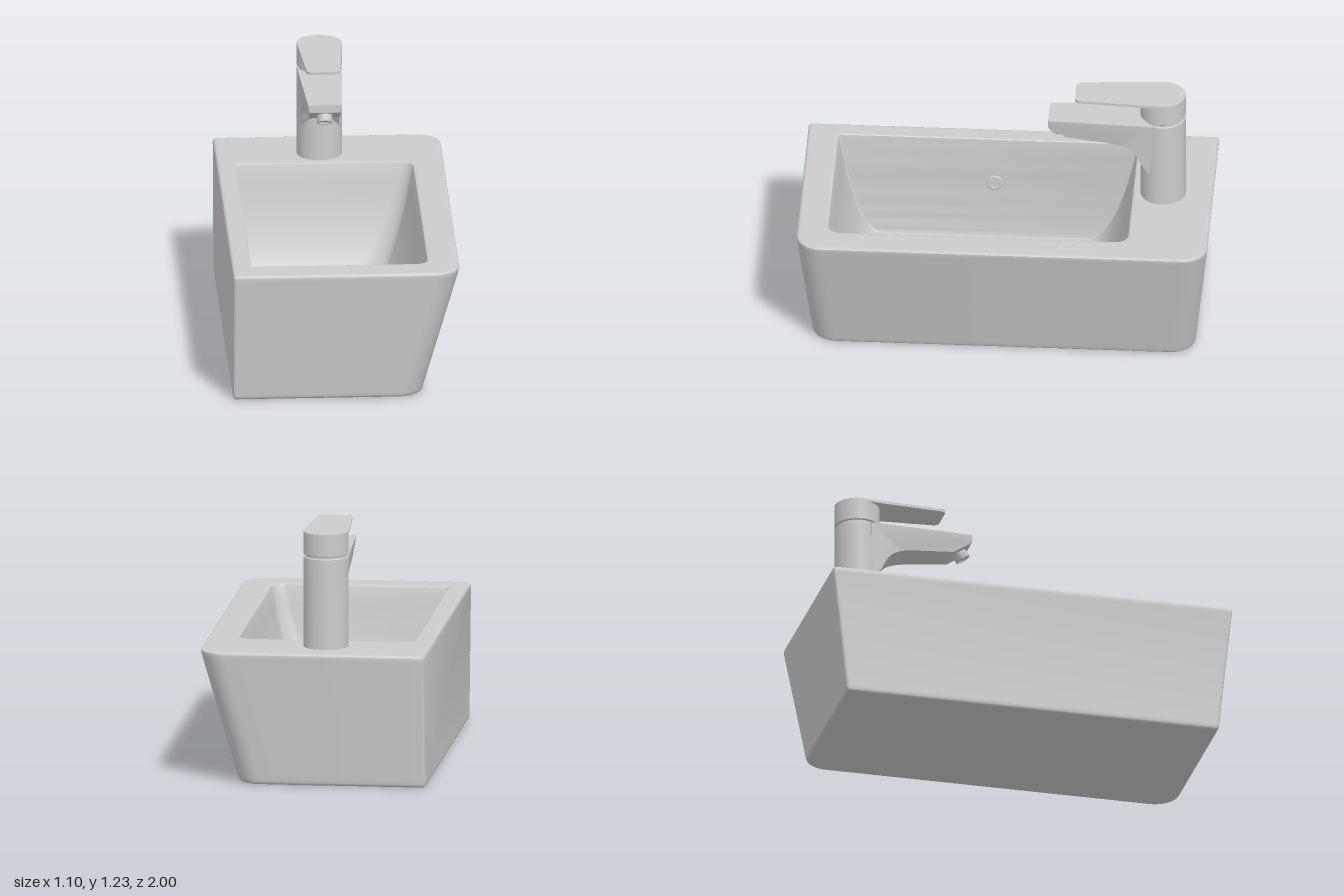
import * as THREE from 'three';
import { toCreasedNormals } from 'three/addons/utils/BufferGeometryUtils.js';

const grey = new THREE.MeshStandardMaterial({ color: 0xcccccc });

function part(name, geometry, x = 0, y = 0, z = 0) {
  const mesh = new THREE.Mesh(geometry, grey);
  mesh.name = name;
  mesh.position.set(x, y, z);
  return mesh;
}

// Horizontal rectangle with separate left (-x) and right (+x) corner radii
function loop(y, x0, x1, z0, z1, rl, rr) {
  const points = [], n = 10;
  const corners = [[x1, z0, 1, -1, rr], [x0, z0, -1, -1, rl], [x0, z1, -1, 1, rl], [x1, z1, 1, 1, rr]];
  corners.forEach(([x, z, sx, sz, r], c) => {
    for (let i = 0; i <= n; i++) {
      const a = (c + i / n) * Math.PI / 2;
      points.push([x - sx * r + r * Math.cos(a), y, z - sz * r - r * Math.sin(a)]);
    }
  });
  return points;
}

// Skin a list of equal-length loops
function loft(loops) {
  const n = loops[0].length, index = [];
  for (let j = 0; j < loops.length - 1; j++) {
    for (let i = 0; i < n; i++) {
      const a = j * n + i, b = j * n + (i + 1) % n;
      index.push(a, b, b + n, a, b + n, a + n);
    }
  }
  const g = new THREE.BufferGeometry();
  g.setAttribute('position', new THREE.Float32BufferAttribute(loops.flat(2), 3));
  g.setIndex(index);
  return toCreasedNormals(g, 0.6);
}

function basinGeometry() {
  const H = 0.66, e = 0.014, loops = [];
  // outer wall: right, front and back sides lean outwards
  const outer = (y, inset) => {
    const t = y / H, z = 0.93 + 0.07 * t - inset;
    return loop(y, -0.553 + inset, 0.37 + 0.183 * t - inset, -z, z, 0.015, 0.12 - inset);
  };
  loops.push(loop(0, -0.1, -0.1, 0, 0, 0, 0));
  loops.push(outer(0, e + 0.01));
  for (let i = 0; i <= 3; i++) {
    const a = i / 3 * Math.PI / 2;
    loops.push(outer(e * (1 - Math.cos(a)), e * (1 - Math.sin(a))));
  }
  loops.push(outer(0.03, 0), outer(H - 0.03, 0));
  for (let i = 0; i <= 3; i++) {
    const a = i / 3 * Math.PI / 2;
    loops.push(outer(H - e * (1 - Math.sin(a)), e * (1 - Math.cos(a))));
  }
  loops.push(outer(H, e + 0.01));
  // rim lip, then curved bowl walls down to the floor
  loops.push(loop(H, -0.472, 0.415, -0.625, 0.865, 0.01, 0.075));
  loops.push(loop(H, -0.464, 0.407, -0.617, 0.857, 0.01, 0.07));
  loops.push(loop(H - 0.004, -0.46, 0.4, -0.61, 0.85, 0.01, 0.065));
  const steps = 14;
  for (let i = 0; i <= steps; i++) {
    const t = i / steps;
    const s = 2 * t * (1 - t) * 0.4 + t * t;
    const d = 2 * t * (1 - t) + t * t;
    loops.push(loop(H - 0.012 - 0.548 * d, -0.459 + 0.004 * s, 0.397 - 0.26 * s,
      -0.607 + 0.255 * s, 0.847 - 0.21 * s, 0.01, 0.065 + 0.08 * s));
  }
  loops.push(loop(0.098, -0.45, 0.11, -0.32, 0.61, 0.01, 0.13));
  loops.push(loop(0.093, -0.1, -0.1, 0.11, 0.11, 0, 0));
  return loft(loops);
}

// Lathe from [radius, height] pairs
function lathe(points, segments = 48) {
  const g = new THREE.LatheGeometry(points.map(([r, y]) => new THREE.Vector2(r, y)), segments);
  return toCreasedNormals(g, 0.5);
}

function spoutGeometry() {
  // side profile (z, y), widened around the column and tapered to the tip
  const s = new THREE.Shape();
  s.moveTo(-0.71, 1.105);
  s.lineTo(-0.71, 0.8);
  s.lineTo(-0.655, 0.87);
  s.bezierCurveTo(-0.62, 0.95, -0.6, 0.975, -0.5, 0.988);
  s.lineTo(-0.29, 1.008);
  s.lineTo(-0.2, 1.065);
  s.lineTo(-0.2, 1.105);
  const g = new THREE.ExtrudeGeometry(s, { depth: 1, bevelEnabled: false, curveSegments: 12 });
  g.translate(0, 0, -0.5).rotateY(-Math.PI / 2);
  const p = g.attributes.position;
  for (let i = 0; i < p.count; i++) {
    const tip = (p.getZ(i) + 0.755) / 0.555;
    const low = Math.min(1, Math.max(0, (1.105 - p.getY(i)) / 0.1));
    p.setX(i, p.getX(i) * 2 * (0.11 - 0.028 * tip) * (1 - 0.14 * low));
  }
  return toCreasedNormals(g, 0.5);
}

function leverGeometry() {
  const s = new THREE.Shape();
  s.moveTo(-0.11, 0.755);
  s.absarc(0, 0.755, 0.11, Math.PI, 0, true);
  s.lineTo(0.083, 0.36);
  s.quadraticCurveTo(0.08, 0.33, 0.055, 0.33);
  s.lineTo(-0.055, 0.33);
  s.quadraticCurveTo(-0.08, 0.33, -0.083, 0.36);
  s.closePath();
  const g = new THREE.ExtrudeGeometry(s, { depth: 0.014, bevelEnabled: false, curveSegments: 32 });
  return toCreasedNormals(g.rotateX(-Math.PI / 2), 0.5);
}

export function createModel() {
  const model = new THREE.Group();
  model.name = 'washbasin';
  model.add(part('basin', basinGeometry()));

  // drain: flange ring, groove and plug
  model.add(part('drain', lathe([
    [0.14, -0.01], [0.14, 0.006], [0.136, 0.01], [0.112, 0.01], [0.112, 0.003],
    [0.108, 0.003], [0.108, 0.01], [0.104, 0.013], [0, 0.015],
  ]), -0.105, 0.095, 0.105));

  // overflow ring on the straight wall
  const overflow = part('overflow', lathe([
    [0.04, -0.005], [0.04, 0.004], [0.036, 0.007], [0.028, 0.007], [0.026, 0.001], [0, 0.001],
  ], 24), -0.458, 0.41, 0.09);
  overflow.rotation.z = -Math.PI / 2;
  model.add(overflow);

  // mixer tap
  const tap = new THREE.Group();
  tap.name = 'tap';
  tap.position.x = -0.047;
  tap.add(part('tapBody', lathe([
    [0.11, 0.65], [0.11, 1.102], [0.107, 1.105], [0.1, 1.105], [0.1, 1.118], [0, 1.118],
  ]), 0, 0, -0.755));
  tap.add(part('tapCap', lathe([
    [0, 1.116], [0.107, 1.116], [0.11, 1.119], [0.11, 1.216], [0, 1.216],
  ]), 0, 0, -0.755));
  tap.add(part('lever', leverGeometry(), 0, 1.214, 0));
  tap.add(part('spout', spoutGeometry()));
  const aerator = part('aerator', lathe([
    [0, -0.018], [0.028, -0.018], [0.03, -0.025], [0.036, -0.025], [0.037, -0.022], [0.037, 0.03],
  ], 32), 0, 1.027, -0.238);
  aerator.rotation.x = -0.6;
  tap.add(aerator);
  model.add(tap);
  return model;
}
